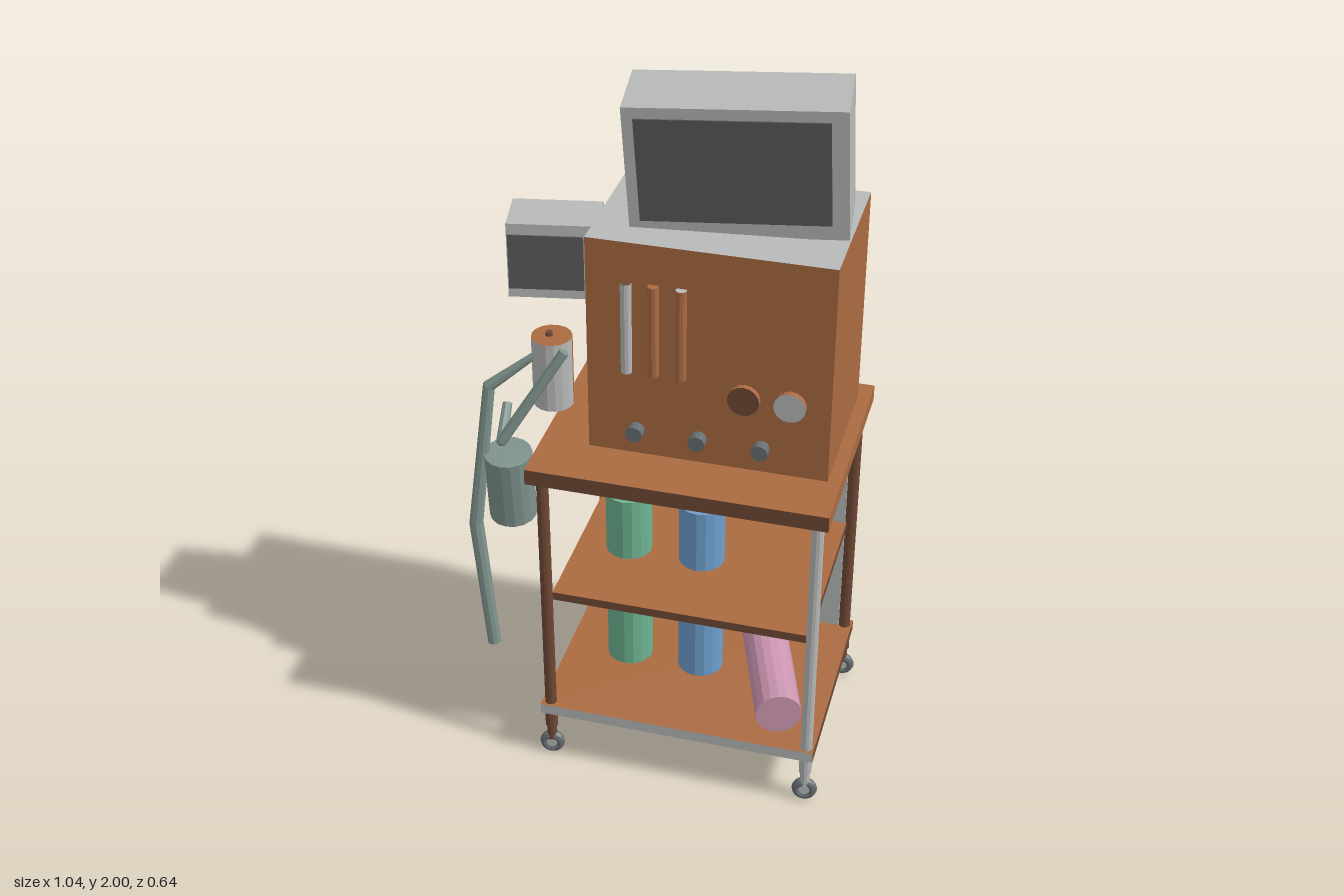
import * as THREE from 'three';

const mat = (name, color) => {
  const m = new THREE.MeshStandardMaterial({ color, flatShading: true });
  m.name = name;
  return m;
};

export function createModel() {
  const model = new THREE.Group();
  model.name = 'medicalCart';
  const grey = mat('light grey', 0xb8bab9);
  const brown = mat('brown', 0xab6b42);
  const dark = mat('dark brown', 0x6f4935);
  const screen = mat('screen', 0x5a595c);
  const slate = mat('slate tube', 0x7f938d);
  const knobMat = mat('knob grey', 0x666e72);
  const green = mat('green', 0x6eb493);
  const blue = mat('blue', 0x6fa0cf);
  const pink = mat('pink', 0xca94af);

  const add = (name, geo, material, x, y, z, parent = model) => {
    const m = new THREE.Mesh(geo, material);
    m.name = name;
    m.position.set(x, y, z);
    parent.add(m);
    return m;
  };
  // Box from its limits; materials in order +x, -x, +y, -y, +z, -z
  const block = (name, [x0, x1], [y0, y1], [z0, z1], material) =>
    add(name, new THREE.BoxGeometry(x1 - x0, y1 - y0, z1 - z0), material,
      (x0 + x1) / 2, (y0 + y1) / 2, (z0 + z1) / 2);
  // Upright cylinder between two heights
  const post = (name, r, y0, y1, x, z, material, sides = 16) =>
    add(name, new THREE.CylinderGeometry(r, r, y1 - y0, sides), material, x, (y0 + y1) / 2, z);
  // Cylinder between two points
  const rod = (name, a, b, ra, rb, material, sides = 10) => {
    const p = new THREE.Vector3(...a), q = new THREE.Vector3(...b);
    const d = q.clone().sub(p), mid = p.clone().add(q).multiplyScalar(0.5);
    const m = add(name, new THREE.CylinderGeometry(rb, ra, d.length(), sides), material, mid.x, mid.y, mid.z);
    m.quaternion.setFromUnitVectors(new THREE.Vector3(0, 1, 0), d.normalize());
    return m;
  };

  // Cart boards and back panel
  block('tableTop', [-0.29, 0.515], [0.96, 1.005], [-0.32, 0.32], [brown, brown, brown, brown, dark, brown]);
  block('middleShelf', [-0.245, 0.47], [0.542, 0.567], [-0.262, 0.262], [dark, dark, brown, brown, dark, brown]);
  block('bottomTray', [-0.28, 0.503], [0.155, 0.187], [-0.297, 0.3], [dark, brown, brown, brown, grey, brown]);
  block('backPanel', [-0.24, 0.465], [0.187, 0.96], [-0.277, -0.265], grey);

  // Legs with casters
  const legs = [[-0.256, 0.278, dark], [0.481, 0.278, grey], [-0.256, -0.274, brown], [0.481, -0.274, dark]];
  for (const [x, z, m] of legs) {
    post('leg', 0.0165, 0.187, 0.96, x, z, m, 12);
    post('legFoot', 0.018, 0.1, 0.155, x, z, m, 12);
    post('casterStem', 0.014, 0.05, 0.1, x, z, m === grey ? grey : dark, 10);
    const caster = new THREE.Group();
    caster.name = 'caster';
    caster.position.set(x, 0.036, z);
    caster.rotation.y = 0.12;
    model.add(caster);
    const tyre = add('tyre', new THREE.TorusGeometry(0.024, 0.012, 8, 18), knobMat, 0, 0, 0, caster);
    tyre.scale.z = 1.1;
    const hub = add('hub', new THREE.CylinderGeometry(0.017, 0.017, 0.018, 14), grey, 0, 0, 0, caster);
    hub.rotation.x = Math.PI / 2;
  }

  // Gas tanks
  for (const [name, x, m] of [['greenTank', -0.1, green], ['blueTank', 0.11, blue]]) {
    post(name, 0.065, 0.187, 0.76, x, 0.003, m);
    post(name + 'Valve', 0.025, 0.76, 0.833, x, 0.003, brown, 10);
  }
  rod('pinkTank', [0.235, 0.254, -0.22], [0.392, 0.254, 0.24], 0.064, 0.064, pink, 18);

  // Main cabinet
  block('cabinet', [-0.16, 0.48], [1.005, 1.625], [-0.26, 0.165], [brown, brown, grey, brown, brown, grey]);

  // Gauge tubes, dials and knobs on the cabinet front
  const gauges = [[-0.053, [grey, dark, grey]], [0.018, brown], [0.09, [brown, grey, brown]]];
  for (const [x, m] of gauges) post('gaugeTube', 0.0145, 1.255, 1.515, x, 0.172, m, 10);
  const disc = (name, r, x, y, z1, m) => {
    const d = add(name, new THREE.CylinderGeometry(r, r, z1 - 0.16, 16), m, x, y, (z1 + 0.16) / 2);
    d.rotation.x = Math.PI / 2;
  };
  disc('dial', 0.042, 0.255, 1.22, 0.18, [brown, dark, brown]);
  disc('dial', 0.042, 0.375, 1.22, 0.18, [brown, grey, brown]);
  for (const x of [-0.03, 0.137, 0.303]) disc('knob', 0.0225, x, 1.078, 0.195, knobMat);

  // Monitors: a box with a thin screen plate
  const monitor = (name, size, pos, rot, scr) => {
    const g = new THREE.Group();
    g.name = name;
    g.position.set(...pos);
    g.rotation.set(...rot, 'YXZ');
    model.add(g);
    add('housing', new THREE.BoxGeometry(...size), grey, 0, 0, 0, g);
    add('screen', new THREE.BoxGeometry(scr[0], scr[1], 0.006), screen, scr[2], scr[3], size[2] / 2 + 0.001, g);
  };
  monitor('mainMonitor', [0.548, 0.356, 0.19], [0.188, 1.802, -0.027], [0.084, 0.118, 0.046], [0.477, 0.285, -0.007, 0.006]);
  monitor('sideMonitor', [0.237, 0.212, 0.14], [-0.29, 1.485, -0.002], [0, 0.19, 0], [0.195, 0.155, -0.018, -0.002]);

  // Canisters beside the cabinet
  const half = (name, start, m) => add(name,
    new THREE.CylinderGeometry(0.055, 0.055, 0.205, 8, 1, false, start, Math.PI), [m, brown, brown], -0.293, 1.152, 0.05);
  half('absorberFront', -Math.PI / 2, grey);
  half('absorberBack', Math.PI / 2, brown);
  post('absorberKnob', 0.01, 1.25, 1.265, -0.3, 0.05, dark, 8);
  rod('hangingCanister', [-0.41, 0.687, 0.089], [-0.41, 0.9, 0.11], 0.066, 0.066, slate, 16);

  // Breathing hoses as jointed tubes
  const hose = (name, r, pts) => {
    for (let i = 0; i < pts.length - 1; i++) {
      rod(name, pts[i], pts[i + 1], r[i], r[i + 1], slate);
      if (i) add(name + 'Joint', new THREE.SphereGeometry(r[i], 10, 8), slate, ...pts[i]);
    }
  };
  hose('longHose', [0.008, 0.017, 0.02, 0.019],
    [[-0.29, 1.235, 0.06], [-0.458, 1.1, 0.1], [-0.502, 0.67, 0.142], [-0.46, 0.27, 0.165]]);
  hose('shortHose', [0.014, 0.015, 0.013],
    [[-0.245, 1.237, 0.095], [-0.405, 0.975, 0.165], [-0.415, 1.04, 0.08]]);
  return model;
}
